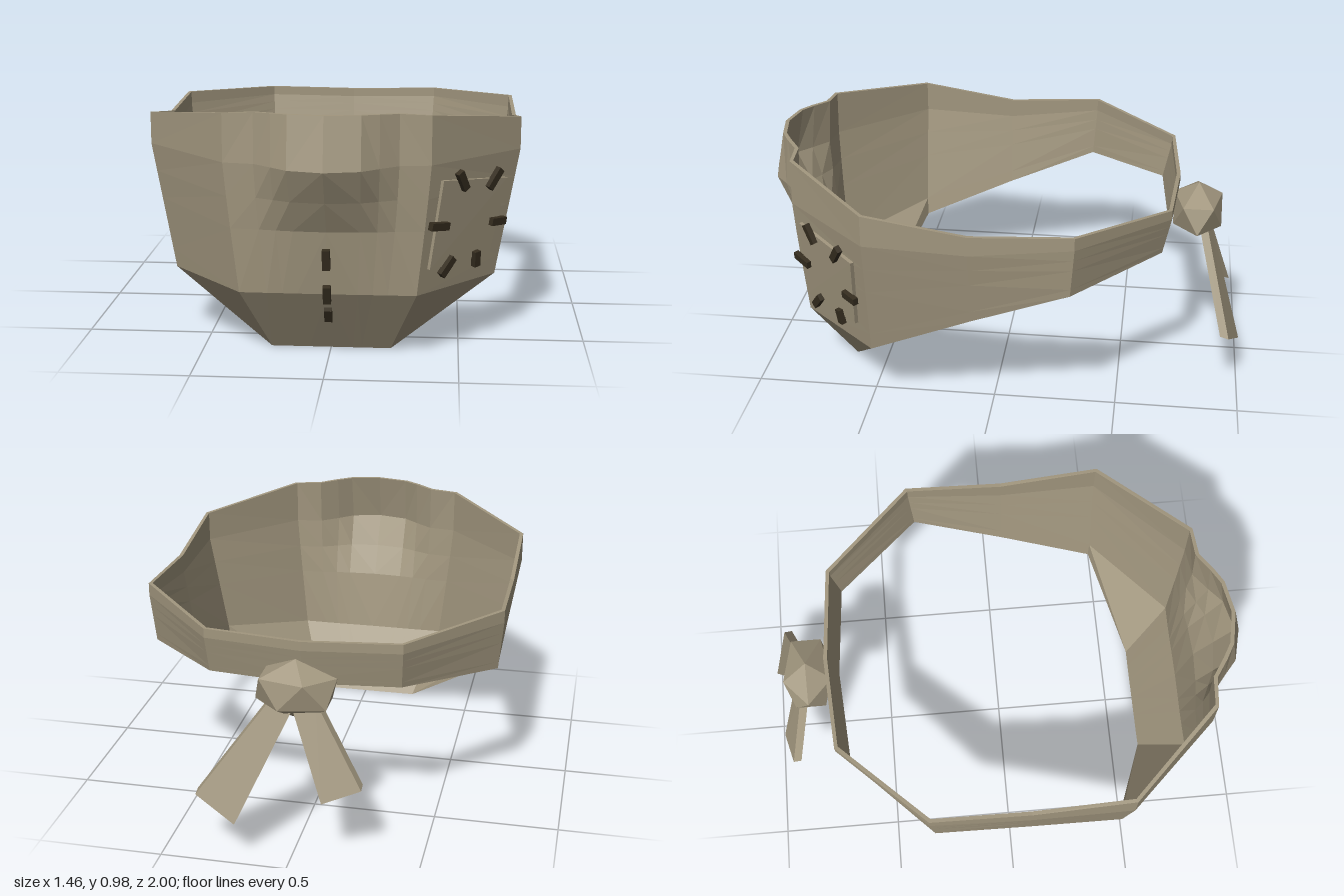
import * as THREE from 'three';

const cloth = new THREE.MeshStandardMaterial({ color: 0xa1967e, flatShading: true });
cloth.name = 'khaki cloth';
const thread = new THREE.MeshStandardMaterial({ color: 0x352d1f, flatShading: true });
thread.name = 'dark thread';

function buildGeometry(points, index) {
  const g = new THREE.BufferGeometry();
  g.setAttribute('position', new THREE.Float32BufferAttribute(points.flat(), 3));
  g.setIndex(index);
  const flat = g.toNonIndexed();
  flat.computeVertexNormals();
  return flat;
}

// Four-cornered slab: corners run counter-clockwise seen from outside, d points inward
function slab(corners, d) {
  const pts = [...corners, ...corners.map(p => p.map((v, i) => v + d[i]))];
  const index = [0, 1, 2, 0, 2, 3, 4, 6, 5, 4, 7, 6];
  for (let i = 0; i < 4; i++) {
    const j = (i + 1) % 4;
    index.push(i, i + 4, j + 4, i, j + 4, j);
  }
  return buildGeometry(pts, index);
}

// Cross-sections of the mask from the front centre round to the back, top to bottom
function maskColumns() {
  // Front: x and z of each column at the shared row heights
  const heights = [0.98, 0.78, 0.65, 0.525, 0.27, 0];
  const front = [
    { x: [0, 0, 0, 0, 0, 0], z: [0.955, 1.0, 0.928, 0.86, 0.812, 0.64] },
    { x: [0.135, 0.135, 0.13, 0.125, 0.115, 0.085], z: [0.93, 0.968, 0.91, 0.853, 0.811, 0.64] },
    { x: [0.2, 0.2, 0.196, 0.19, 0.172, 0.122], z: [0.893, 0.912, 0.88, 0.845, 0.81, 0.64] },
    { x: [0.27, 0.27, 0.264, 0.255, 0.23, 0.16], z: [0.845, 0.856, 0.848, 0.835, 0.81, 0.64] },
    { x: [0.388, 0.388, 0.377, 0.365, 0.338, 0.235], z: [0.835, 0.838, 0.832, 0.825, 0.808, 0.64] },
  ].map(({ x, z }, c) => heights.map((y, r) => [x[r], r ? y : y - 0.0009 * c * c, z[r]]));
  // Sides and back: x top, x bottom, z top, z bottom, y top, y bottom
  const band = [
    [0.73, 0.64, 0.48, 0.48, 0.905, 0.272],
    [0.73, 0.68, 0.07, 0.07, 0.84, 0.45],
    [0.73, 0.712, -0.335, -0.32, 0.86, 0.605],
    [0.388, 0.38, -0.692, -0.66, 0.835, 0.645],
    [0, 0, -0.72, -0.69, 0.825, 0.64],
  ].map(([xt, xb, zt, zb, yt, yb]) => [0, 0.2, 0.375, 0.55, 0.88, 1].map(f => {
    const s = Math.max(0, (f - 0.2) / 0.8);
    return [xt + (xb - xt) * s, yt + (yb - yt) * f, zt + (zb - zt) * s];
  }));
  const half = [...front, ...band];
  const mirrored = half.slice(1, -1).reverse().map(c => c.map(([x, y, z]) => [-x, y, z]));
  return [...half, ...mirrored];
}

// Closed ring with an outer skin, an inner skin and rims
function maskGeometry(thickness) {
  const cols = maskColumns();
  const n = cols.length, m = cols[0].length * 2;
  const pts = [];
  cols.forEach((col, i) => {
    const prev = cols[(i + n - 1) % n], next = cols[(i + 1) % n];
    const inner = col.map(([x, y, z], r) => {
      const tx = next[r][0] - prev[r][0], tz = next[r][2] - prev[r][2];
      const k = thickness / Math.hypot(tx, tz);
      return [x + tz * k, y, z - tx * k];
    });
    pts.push(...col, ...inner.reverse());
  });
  const index = [];
  for (let i = 0; i < n; i++) {
    for (let r = 0; r < m; r++) {
      const a = i * m + r, b = i * m + (r + 1) % m;
      const c = ((i + 1) % n) * m + (r + 1) % m, d = ((i + 1) % n) * m + r;
      // Mirror the diagonals so both halves fold alike
      if (i < n / 2) index.push(a, b, c, a, c, d);
      else index.push(a, b, d, b, c, d);
    }
  }
  return buildGeometry(pts, index);
}

// Point on the left cheek panel at a given x and y, pushed outward by lift
function onCheek(x, y, lift) {
  const t = (y - 0.27) / 0.51;
  const x0 = 0.338 + 0.05 * t, z0 = 0.808 + 0.03 * t, x1 = 0.64 + 0.09 * t;
  const z = z0 + (0.48 - z0) * (x - x0) / (x1 - x0);
  return [x + lift * 0.7, y, z + lift * 0.7];
}

// Short bar of thread between two points, its flat side facing the normal
function stitch(a, b, normal) {
  const A = new THREE.Vector3(...a), B = new THREE.Vector3(...b);
  const along = B.clone().sub(A);
  const length = along.length();
  along.normalize();
  const side = new THREE.Vector3().crossVectors(along, normal).normalize();
  const out = new THREE.Vector3().crossVectors(side, along);
  const mesh = new THREE.Mesh(new THREE.BoxGeometry(0.03, length, 0.022), thread);
  mesh.quaternion.setFromRotationMatrix(new THREE.Matrix4().makeBasis(side, along, out));
  mesh.position.copy(A).add(B).multiplyScalar(0.5);
  return mesh;
}

export function createModel() {
  const model = new THREE.Group();
  const add = (name, geometry) => {
    const mesh = new THREE.Mesh(geometry, cloth);
    mesh.name = name;
    model.add(mesh);
    return mesh;
  };

  add('maskBand', maskGeometry(0.016));

  // Sewn patch on the left cheek
  const corners = [[0.375, 0.37], [0.605, 0.37], [0.668, 0.675], [0.423, 0.715]];
  add('cheekPatch', slab(corners.map(([x, y]) => onCheek(x, y, 0.016)), [-0.016, 0, -0.016]));

  const patchStitches = new THREE.Group();
  patchStitches.name = 'patchStitches';
  const cheekNormal = new THREE.Vector3(0.7, -0.1, 0.7);
  [
    [0.474, 0.74, 0.499, 0.668], [0.632, 0.72, 0.588, 0.65], [0.37, 0.548, 0.434, 0.535],
    [0.6, 0.508, 0.655, 0.502], [0.455, 0.4, 0.41, 0.338], [0.545, 0.4, 0.545, 0.338],
  ].forEach(([ax, ay, bx, by]) => {
    patchStitches.add(stitch(onCheek(ax, ay, 0.025), onCheek(bx, by, 0.025), cheekNormal));
  });
  model.add(patchStitches);

  // Stitches down the chin seam
  const chinStitches = new THREE.Group();
  chinStitches.name = 'chinStitches';
  [[0.46, 0.872, 0.38, 0.857], [0.31, 0.846, 0.24, 0.822], [0.202, 0.788, 0.15, 0.758]].forEach(([ay, az, by, bz]) => {
    chinStitches.add(stitch([0, ay, az], [0, by, bz], new THREE.Vector3(0, 0, 1)));
  });
  model.add(chinStitches);

  // Knot and its two hanging tails at the back
  const knot = add('knot', new THREE.IcosahedronGeometry(1, 0).rotateZ(Math.atan(2 / (1 + Math.sqrt(5)))));
  knot.scale.set(0.178, 0.12, 0.118);
  knot.position.set(0, 0.67, -0.8);

  const depth = [0, 0.01, 0.035];
  add('leftTail', slab([[0.0, 0.61, -0.86], [0.085, 0.64, -0.84], [0.365, 0.255, -0.95], [0.2, 0.17, -1.0]], depth));
  add('rightTail', slab([[-0.13, 0.275, -0.96], [-0.275, 0.325, -0.92], [-0.085, 0.64, -0.84], [0.0, 0.61, -0.86]], depth));

  return model;
}
